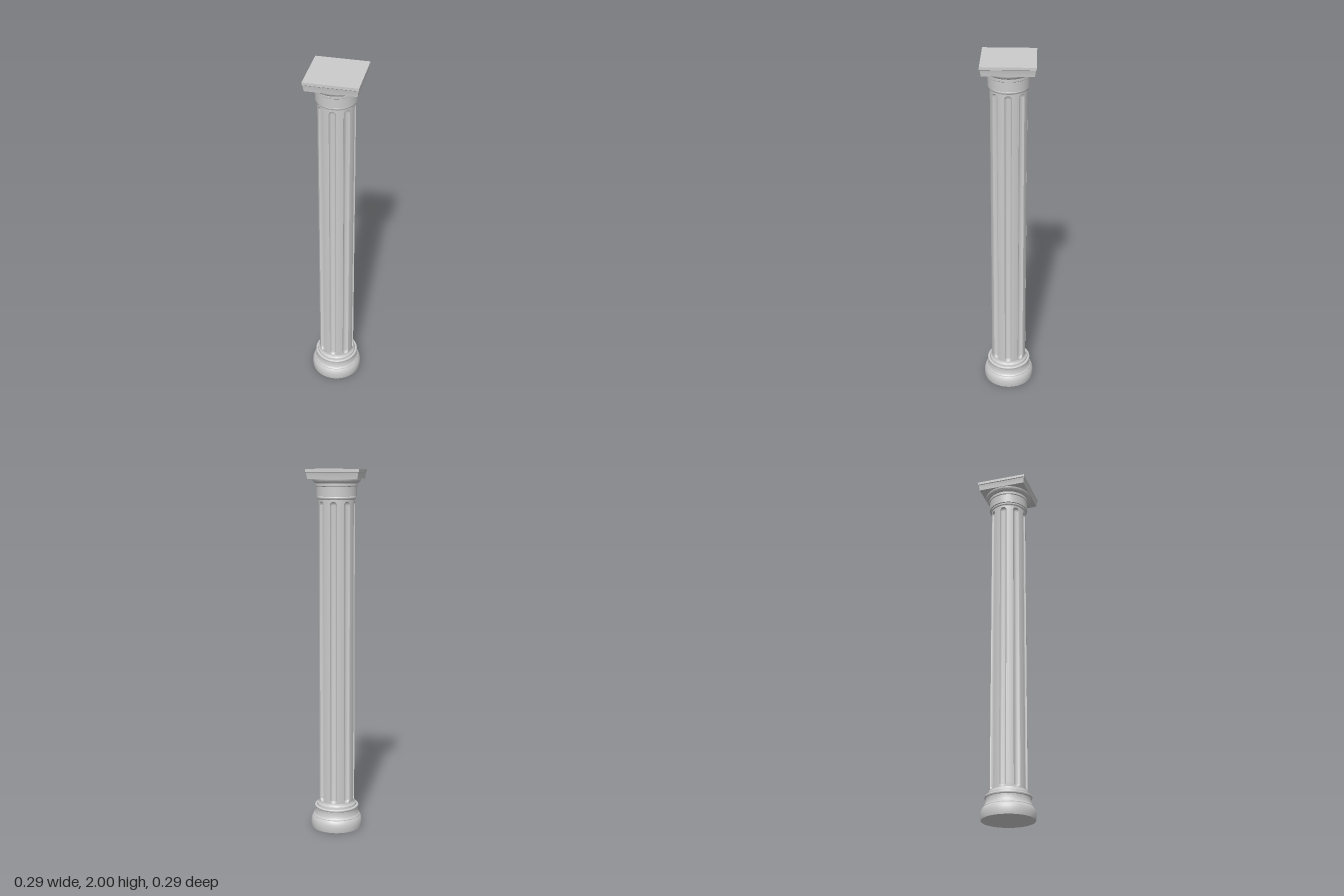
import * as THREE from 'three';
import { toCreasedNormals } from 'three/addons/utils/BufferGeometryUtils.js';

const material = new THREE.MeshStandardMaterial({ color: 0xcccccc });

// Turned part from [radius, height] points, bottom to top
function turned(name, profile, segments = 64, crease = 0.6) {
  const points = profile.map(([r, y]) => new THREE.Vector2(r, y));
  const mesh = new THREE.Mesh(toCreasedNormals(new THREE.LatheGeometry(points, segments), crease), material);
  mesh.name = name;
  return mesh;
}

// Convex rounded moulding bulging out from radius r between two heights
function bead(r, bulge, y0, y1, steps = 8) {
  return Array.from({ length: steps + 1 }, (_, i) => {
    const t = (i / steps) * Math.PI;
    return [r + bulge * Math.sin(t), (y0 + y1) / 2 - ((y1 - y0) / 2) * Math.cos(t)];
  });
}

// Shaft with round-ended scooped flutes
function flutedShaft() {
  const flutes = 8, across = 14, landSteps = 4, capSteps = 7;
  const halfAngle = 0.195, halfWidth = 0.02, depth = 0.014;
  const bottom = 0.14, top = 1.86, fluteBottom = 0.175, fluteTop = 1.81;

  // Columns: angle and position a across the flute (a = 1 on the plain land)
  const columns = [];
  const pitch = (2 * Math.PI) / flutes;
  for (let f = 0; f < flutes; f++) {
    for (let i = 0; i <= across; i++) {
      const a = -Math.cos((i / across) * Math.PI);
      columns.push({ angle: f * pitch + a * halfAngle, a });
    }
    for (let i = 1; i < landSteps; i++) {
      columns.push({ angle: f * pitch + halfAngle + (i / landSteps) * (pitch - 2 * halfAngle), a: 1 });
    }
  }
  columns.push({ ...columns[0], angle: columns[0].angle + 2 * Math.PI });

  // Rows: plain end, rounded scoop, straight flute, rounded scoop, plain end
  const rows = [{ y: bottom, reach: 0, scoop: 0 }];
  for (let i = 0; i <= capSteps; i++) {
    const t = (i / capSteps) * Math.PI / 2;
    rows.push({ y: fluteBottom, reach: -Math.cos(t), scoop: Math.sin(t) });
  }
  for (let i = 0; i <= capSteps; i++) {
    const t = (i / capSteps) * Math.PI / 2;
    rows.push({ y: fluteTop, reach: Math.sin(t), scoop: Math.cos(t) });
  }
  rows.push({ y: top, reach: 0, scoop: 0 });

  const positions = [], index = [], n = columns.length;
  for (const { y, reach, scoop } of rows) {
    for (const { angle, a } of columns) {
      const chord = Math.sqrt(Math.max(0, 1 - a * a));
      const height = y + reach * halfWidth * chord;
      const r = 0.1 - 0.001 * height - depth * scoop * chord;
      positions.push(r * Math.sin(angle), height, r * Math.cos(angle));
    }
  }
  for (let j = 0; j < rows.length - 1; j++) {
    for (let i = 0; i < n - 1; i++) {
      const p = j * n + i;
      index.push(p, p + 1, p + n + 1, p, p + n + 1, p + n);
    }
  }
  const geometry = new THREE.BufferGeometry();
  geometry.setAttribute('position', new THREE.Float32BufferAttribute(positions, 3));
  geometry.setIndex(index);
  const mesh = new THREE.Mesh(toCreasedNormals(geometry, 0.6), material);
  mesh.name = 'flutedShaft';
  return mesh;
}

export function createModel() {
  const column = new THREE.Group();
  column.name = 'column';

  // Round base: large torus, hollow, small torus, fillet running into the shaft
  column.add(turned('base', [
    [0, 0], [0.142, 0], [0.144, 0.012], [0.144, 0.03], [0.142, 0.045], [0.137, 0.058], [0.131, 0.066],
    [0.131, 0.07], [0.126, 0.074], [0.122, 0.085], [0.119, 0.1], [0.119, 0.113],
    ...bead(0.119, 0.005, 0.113, 0.127),
    [0.112, 0.127], [0.11, 0.138], [0.105, 0.141], [0.102, 0.147], [0.0995, 0.156],
  ]));

  column.add(flutedShaft());

  // Small ring at the top of the shaft
  column.add(turned('neckRing', [[0.098, 1.838], ...bead(0.099, 0.005, 1.842, 1.856), [0.098, 1.858]]));

  // Capital: neck band, collar and flaring cushion
  column.add(turned('capital', [
    [0.095, 1.856], [0.109, 1.856], [0.109, 1.908], [0.113, 1.911], [0.114, 1.918], [0.113, 1.925],
    [0.117, 1.927], [0.124, 1.932], [0.129, 1.939], [0.131, 1.946], [0.131, 1.952], [0, 1.952],
  ]));

  // Square top slab with a projecting upper lip
  const s = Math.SQRT2;
  const abacus = turned('abacus', [
    [0, 1.949], [0.134 * s, 1.949], [0.136 * s, 1.968], [0.139 * s, 1.982],
    [0.142 * s, 1.985], [0.142 * s, 2], [0, 2],
  ], 4, 0.3);
  abacus.rotation.y = Math.PI / 4;
  column.add(abacus);

  return column;
}
